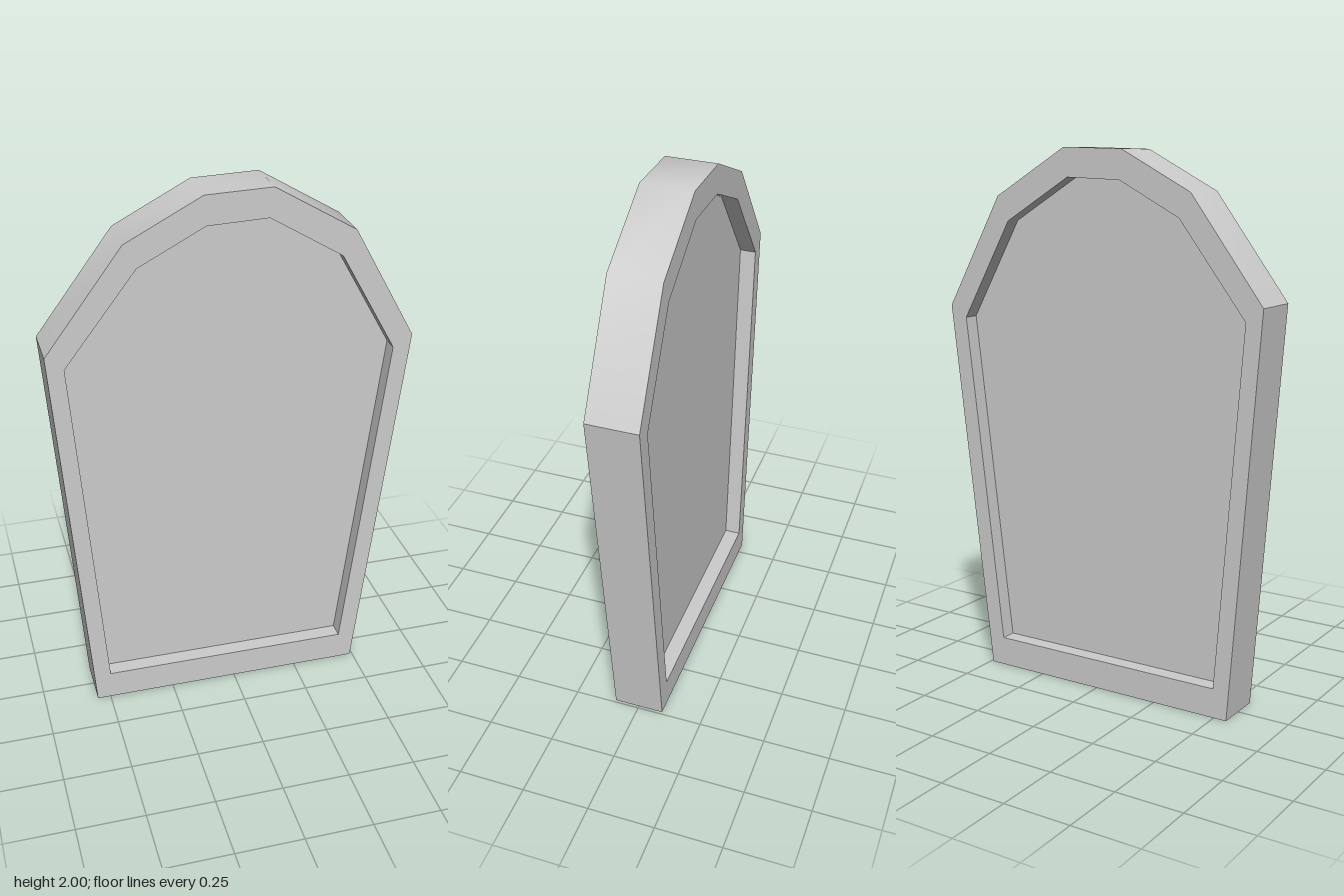
import * as THREE from 'three';
import { toCreasedNormals } from 'three/addons/utils/BufferGeometryUtils.js';

const DEPTH = 0.188; // full thickness of the slab
const RECESS = 0.06; // how far the panel sits back on each face

// Uneven arched outlines, counter-clockwise from the bottom left
const OUTER = [
  [-0.55, 0], [0.49, 0], [0.66, 1.41], [0.43, 1.825],
  [0.135, 2], [-0.105, 1.993], [-0.38, 1.85], [-0.66, 1.477],
];
const INNER = [
  [-0.495, 0.11], [0.437, 0.11], [0.59, 1.367], [0.384, 1.735],
  [0.12, 1.895], [-0.098, 1.887], [-0.336, 1.763], [-0.595, 1.427],
];

const toPoints = (list) => list.map(([x, y]) => new THREE.Vector2(x, y));

// Extrude a shape centred on z = 0; only the gentle bends of the arch are smoothed
function slab(name, shape, depth, material) {
  const geometry = new THREE.ExtrudeGeometry(shape, { depth, bevelEnabled: false });
  geometry.translate(0, 0, -depth / 2);
  const mesh = new THREE.Mesh(toCreasedNormals(geometry, THREE.MathUtils.degToRad(35)), material);
  mesh.name = name;
  return mesh;
}

export function createModel() {
  const group = new THREE.Group();
  group.name = 'gravestone';
  const stone = new THREE.MeshStandardMaterial({ color: 0xcccccc });

  // Raised border running around both faces
  const border = new THREE.Shape(toPoints(OUTER));
  border.holes.push(new THREE.Path(toPoints(INNER)));
  group.add(slab('border', border, DEPTH, stone));

  // Sunken panel filling the border, recessed front and back
  const panel = new THREE.Shape(toPoints(INNER));
  group.add(slab('panel', panel, DEPTH - 2 * RECESS, stone));

  return group;
}
